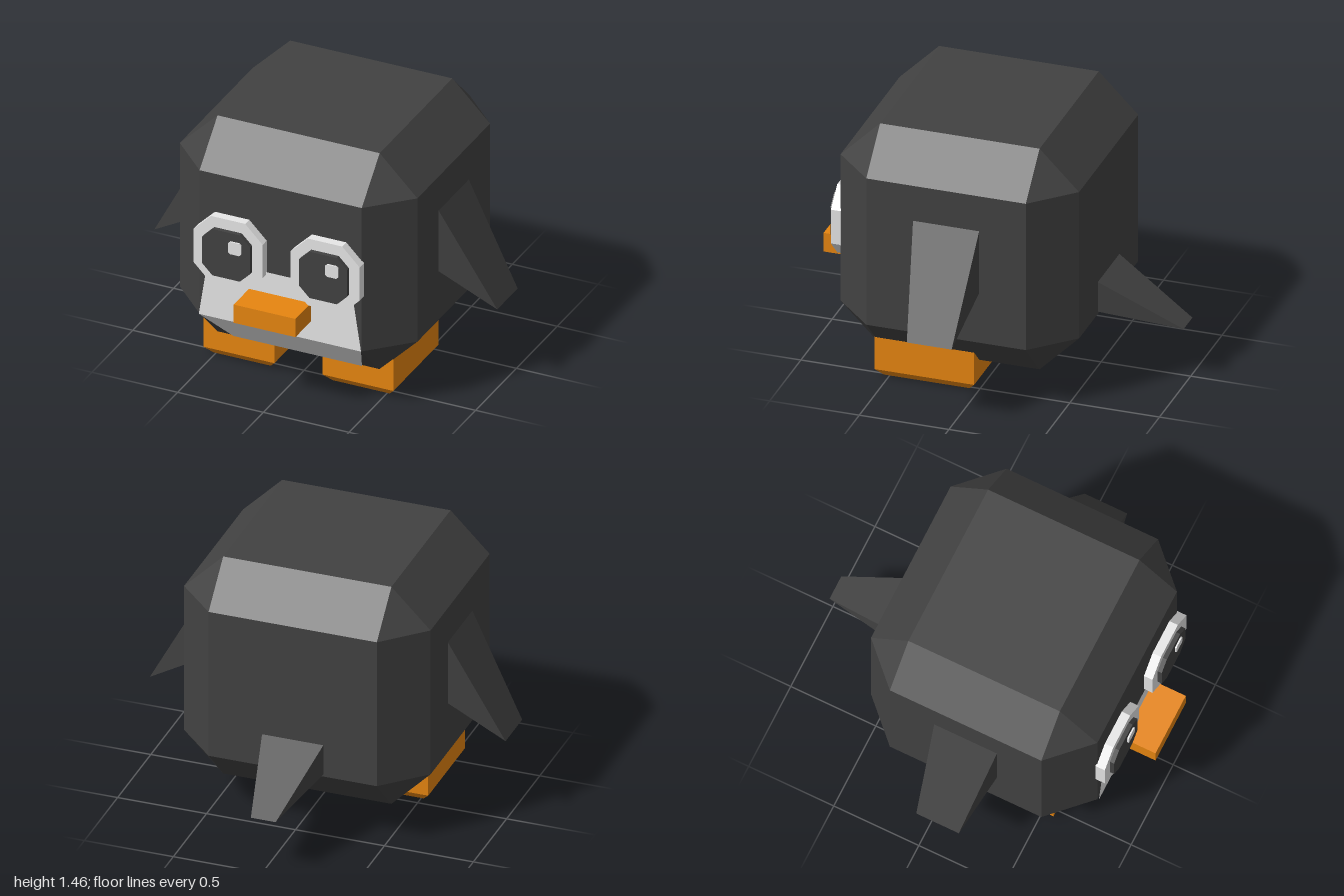
import * as THREE from 'three';
import { ConvexGeometry } from 'three/addons/geometries/ConvexGeometry.js';

const material = (name, color) => {
  const m = new THREE.MeshStandardMaterial({ color });
  m.name = name;
  return m;
};

export function createModel() {
  const model = new THREE.Group();
  model.name = 'bird';
  const charcoal = material('charcoal', 0x424242);
  const white = material('white', 0xffffff);
  const orange = material('orange', 0xff9413);

  const add = (name, geometry, mat, x = 0, y = 0, z = 0) => {
    const mesh = new THREE.Mesh(geometry, mat);
    mesh.name = name;
    mesh.position.set(x, y, z);
    model.add(mesh);
    return mesh;
  };
  const hull = (points) => new ConvexGeometry(points.map((p) => new THREE.Vector3(...p)));

  // Square plate with cut corners, extruded toward +z
  const cutPlate = (h, cut, depth) => {
    const c = h - cut;
    const outline = [[c, -h], [h, -c], [h, c], [c, h], [-c, h], [-h, c], [-h, -c], [-c, -h]];
    const shape = new THREE.Shape(outline.map(([x, y]) => new THREE.Vector2(x, y)));
    return new THREE.ExtrudeGeometry(shape, { depth, bevelEnabled: false });
  };

  // Body: box with every edge and corner chamfered
  const [hx, hy, hz, cut] = [0.693, 0.653, 0.665, 0.22];
  const corners = [];
  for (const sx of [-1, 1]) for (const sy of [-1, 1]) for (const sz of [-1, 1]) {
    corners.push([sx * hx, sy * (hy - cut), sz * (hz - cut)]);
    corners.push([sx * (hx - cut), sy * hy, sz * (hz - cut)]);
    corners.push([sx * (hx - cut), sy * (hy - cut), sz * hz]);
  }
  add('body', hull(corners), charcoal, 0, 0.808, 0.123);

  // Belly patch: thin sheet folded over the lower front chamfer
  const rows = [[0.42, 0.725, 0.797], [0.473, 0.378, 0.797], [0.375, 0.157, 0.579]];
  const belly = new THREE.BufferGeometry();
  belly.setAttribute('position', new THREE.Float32BufferAttribute(
    rows.flatMap(([x, y, z]) => [-x, y, z, x, y, z]), 3));
  belly.setIndex([0, 2, 1, 1, 2, 3, 2, 4, 3, 3, 4, 5]);
  const bellyFlat = belly.toNonIndexed();
  bellyFlat.computeVertexNormals();
  add('belly', bellyFlat, white);

  // Beak
  add('beak', new THREE.BoxGeometry(0.36, 0.11, 0.2), orange, 0, 0.545, 0.885);

  // Tail: wedge narrowing to an edge
  add('tail', hull([
    [-0.175, 0.57, -0.53], [0.175, 0.57, -0.53], [-0.175, 0.39, -0.53], [0.175, 0.39, -0.53],
    [-0.07, 0.31, -0.985], [0.07, 0.31, -0.985],
  ]), charcoal);

  for (const s of [-1, 1]) {
    const side = s > 0 ? 'left' : 'right';

    // Eye, pupil and highlight (both highlights sit toward the model's left)
    add(side + 'Eye', cutPlate(0.202, 0.102, 0.055), white, s * 0.283, 0.81, 0.783);
    add(side + 'Pupil', cutPlate(0.14, 0.06, 0.03), charcoal, s * 0.283, 0.81, 0.832);
    add(side + 'EyeHighlight', cutPlate(0.037, 0.01, 0.009), white, s * 0.283 + 0.053, 0.865, 0.862);

    // Wing: wedge sloping down to an edge
    add(side + 'Wing', hull([
      [s * 0.69, 1.04, -0.062], [s * 0.69, 1.04, 0.308],
      [s * 0.69, 0.67, -0.062], [s * 0.69, 0.67, 0.308],
      [s * 1.0, 0.475, -0.015], [s * 1.0, 0.475, 0.235],
    ]), charcoal);

    // Foot: block with the sole edges chamfered
    const foot = [];
    for (const [w, y, d] of [[0.167, 0, 0.238], [0.207, 0.045, 0.278], [0.207, 0.235, 0.278]])
      for (const a of [-1, 1]) for (const b of [-1, 1]) foot.push([a * w, y, b * d]);
    add(side + 'Foot', hull(foot), orange, s * 0.347, 0, 0.293);
  }
  return model;
}
